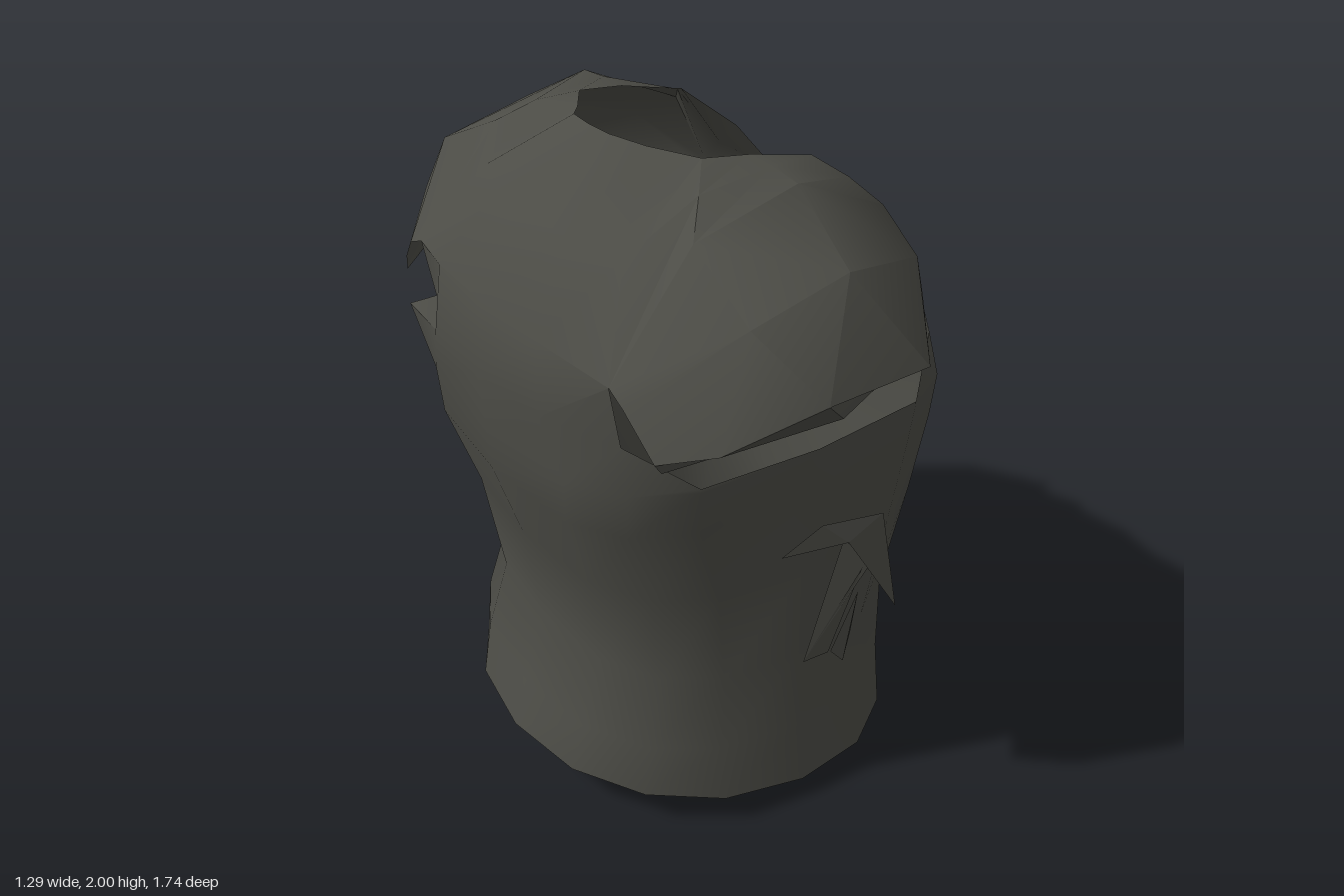
import * as THREE from 'three';
import { toCreasedNormals } from 'three/addons/utils/BufferGeometryUtils.js';

const cloth = new THREE.MeshStandardMaterial({ color: 0x4c4c46, side: THREE.DoubleSide });
cloth.name = 'charcoal cloth';

// Skin rows of points; keep(row, column) says which quads exist
function sheet(name, rows, { closed = false, flip = false, keep = () => true } = {}) {
  const n = rows[0].length;
  const index = [];
  for (let i = 0; i < rows.length - 1; i++) {
    for (let j = 0; j < (closed ? n : n - 1); j++) {
      if (!keep(i, j)) continue;
      const a = i * n + j, b = i * n + (j + 1) % n, c = a + n, d = b + n;
      if (flip) index.push(a, b, c, b, d, c);
      else index.push(a, c, b, b, c, d);
    }
  }
  const geo = new THREE.BufferGeometry();
  geo.setAttribute('position', new THREE.Float32BufferAttribute(rows.flat(2), 3));
  geo.setIndex(index);
  const mesh = new THREE.Mesh(toCreasedNormals(geo, 0.7), cloth);
  mesh.name = name;
  return mesh;
}

// Complete a half ring (+x round to -x) on the other side
const mirrorRing = half => [...half, ...half.slice(1, -1).reverse().map(([x, y, z]) => [x, y, -z])];

// Horizontal ring of the body: rounded oval with its own reach on each side
function bodyRing([y, xMin, xMax, zMin, zMax, square, tilt = 0]) {
  const ring = [];
  const round = v => Math.sign(v) * Math.pow(Math.abs(v), 2 / square);
  for (let j = 0; j < 16; j++) {
    const a = j * Math.PI / 8;
    const c = round(Math.cos(a)), s = round(Math.sin(a));
    const x = c * (c > 0 ? xMax : -xMin);
    ring.push([x, y + tilt * x, s * (s > 0 ? zMax : -zMin)]);
  }
  return ring;
}

// Loose torn bits made of single triangles
function scraps(name, triangles) {
  const geo = new THREE.BufferGeometry();
  geo.setAttribute('position', new THREE.Float32BufferAttribute(triangles.flat(2), 3));
  geo.computeVertexNormals();
  const mesh = new THREE.Mesh(geo, cloth);
  mesh.name = name;
  return mesh;
}

export function createModel() {
  const shirt = new THREE.Group();
  shirt.name = 'tornShirt';

  // Body: y, xMin, xMax, zMin, zMax, squareness, tilt
  const body = [
    [0.075, -0.62, 0.62, -0.655, 0.625, 2.15, -0.12],
    [0.28, -0.575, 0.57, -0.645, 0.6, 2.35, -0.04],
    [0.53, -0.505, 0.56, -0.56, 0.575, 2.55],
    [0.85, -0.55, 0.62, -0.585, 0.595, 2.8],
    [1.1, -0.63, 0.645, -0.6, 0.6, 3.2],
    [1.24, -0.637, 0.642, -0.61, 0.615, 3.3],
  ].map(bodyRing);

  // Armhole lip on the -z side flares out towards the back of the shirt
  const flare = [[-0.51, 1.26, -0.69], [-0.3, 1.24, -0.665], [0, 1.24, -0.635], [0.33, 1.25, -0.6]];
  flare.forEach((p, k) => { body[5][10 + k] = p; });

  // Chest and upper back; below each armhole the ring drops to the torn lip
  const chest = mirrorRing([
    [0.59, 1.4, 0], [0.57, 1.4, 0.27], [0.49, 1.38, 0.48], [0, 0, 0], [0, 0, 0],
    [0, 0, 0], [-0.52, 1.38, 0.48], [-0.63, 1.4, 0.27], [-0.65, 1.4, 0]]);
  for (const j of [3, 4, 5, 11, 12, 13]) {
    const [x, y, z] = body[5][j];
    chest[j] = [x, y + 0.012, z];
  }
  const seam = mirrorRing([
    [0.49, 1.6, 0], [0.47, 1.61, 0.25], [0.42, 1.57, 0.48], [0.3, 1.8, 0.46], [0, 1.94, 0.48],
    [-0.3, 1.86, 0.47], [-0.55, 1.56, 0.48], [-0.61, 1.6, 0.25], [-0.62, 1.6, 0]]);
  const yoke = mirrorRing([
    [0.475, 1.63, 0], [0.445, 1.64, 0.2], [0.39, 1.67, 0.36], [0.25, 1.86, 0.38], [0, 1.95, 0.38],
    [-0.22, 1.93, 0.38], [-0.41, 1.8, 0.34], [-0.47, 1.81, 0.17], [-0.475, 1.81, 0]]);
  const neck = mirrorRing([
    [0.46, 1.66, 0], [0.42, 1.67, 0.16], [0.36, 1.77, 0.24], [0.2, 1.9, 0.29], [0, 1.95, 0.29],
    [-0.14, 1.97, 0.28], [-0.22, 1.98, 0.16], [-0.28, 2, 0.08], [-0.285, 2, 0]]);

  const inArmhole = j => (j >= 2 && j < 6) || (j >= 10 && j < 14);
  shirt.add(sheet('body', [...body, chest, seam, yoke, neck], {
    closed: true,
    keep: (i, j) => !(i === 6 && inArmhole(j)),
  }));

  // Sleeve on the +z side, with its hem folded under
  shirt.add(sheet('frontSleeve', [
    seam.slice(2, 7),
    [[0.4, 1.57, 0.51], [0.3, 1.71, 0.6], [-0.04, 1.82, 0.73], [-0.32, 1.75, 0.72], [-0.55, 1.53, 0.54]],
    [[0.38, 1.56, 0.55], [0.15, 1.55, 0.83], [-0.2, 1.58, 0.87], [-0.43, 1.47, 0.76], [-0.53, 1.42, 0.64]],
    [[0.31, 1.44, 0.59], [0.12, 1.44, 0.69], [-0.12, 1.5, 0.83], [-0.38, 1.44, 0.72], [-0.51, 1.39, 0.64]],
  ], { flip: true }));

  // Opposite sleeve, hanging lower
  shirt.add(sheet('backSleeve', [
    seam.slice(10, 15),
    [[-0.56, 1.54, -0.53], [-0.34, 1.74, -0.71], [-0.03, 1.79, -0.75], [0.27, 1.7, -0.63], [0.4, 1.56, -0.52]],
    [[-0.55, 1.47, -0.59], [-0.38, 1.57, -0.78], [-0.12, 1.6, -0.855], [0.22, 1.55, -0.74], [0.38, 1.47, -0.56]],
    [[-0.52, 1.39, -0.66], [-0.38, 1.4, -0.78], [-0.16, 1.4, -0.872], [0.2, 1.4, -0.76], [0.31, 1.35, -0.61]],
  ], { flip: true }));

  // Ragged strips round the tears
  shirt.add(scraps('frontTatters', [
    [[-0.1, 0.93, 0.6], [0.12, 0.9, 0.62], [0.04, 0.98, 0.6]],
    [[0.04, 0.98, 0.6], [0.12, 0.9, 0.62], [0.27, 0.92, 0.59]],
    [[0.12, 0.9, 0.62], [0.28, 0.63, 0.66], [0.27, 0.92, 0.59]],
    [[0.12, 0.9, 0.6], [-0.02, 0.54, 0.62], [0.2, 0.8, 0.63]],
    [[-0.02, 0.54, 0.62], [0.08, 0.52, 0.61], [0.17, 0.8, 0.63]],
    [[0.16, 0.72, 0.63], [0.08, 0.53, 0.62], [0.13, 0.47, 0.62]],
    [[0.16, 0.72, 0.63], [0.13, 0.47, 0.62], [0.17, 0.55, 0.6]],
  ]));
  shirt.add(scraps('backTatters', [
    [[0.1, 0.92, -0.59], [0.28, 0.9, -0.58], [0.2, 0.72, -0.7]],
    [[0.02, 0.92, -0.59], [0.14, 0.92, -0.6], [0.08, 0.7, -0.66]],
  ]));
  shirt.add(scraps('shoulderFlap', [
    [[0.39, 1.68, -0.38], [0.44, 1.56, -0.44], [0.49, 1.65, -0.37]],
  ]));
  return shirt;
}
